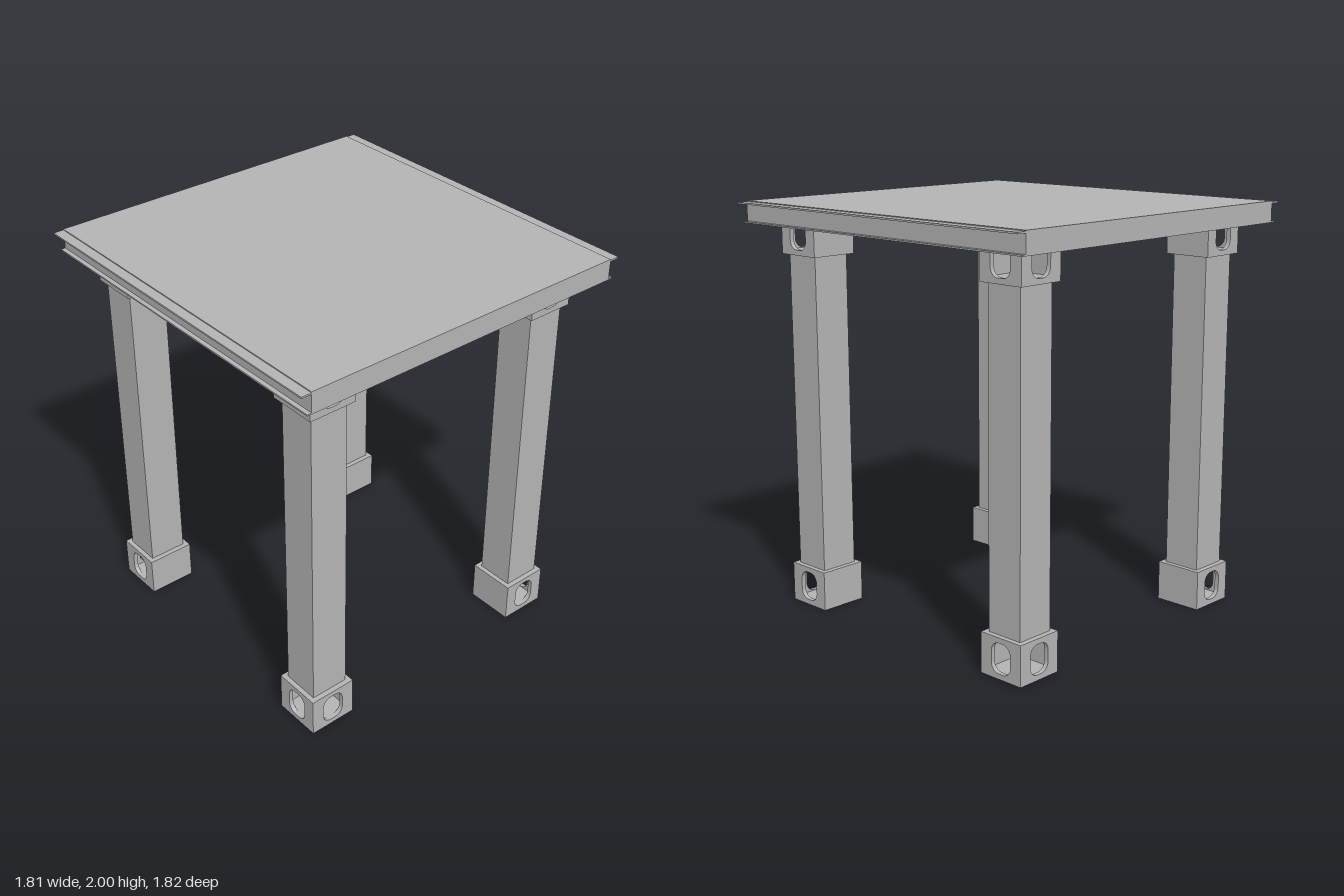
import * as THREE from 'three';
import { toCreasedNormals } from 'three/addons/utils/BufferGeometryUtils.js';

const concrete = new THREE.MeshStandardMaterial({ color: 0xb4b4b4 });
concrete.name = 'plain grey';

function add(parent, name, geometry, x = 0, y = 0, z = 0) {
  const mesh = new THREE.Mesh(geometry, concrete);
  mesh.name = name;
  mesh.position.set(x, y, z);
  parent.add(mesh);
  return mesh;
}

// Box given by its minimum and maximum corners
function span(parent, name, [x0, y0, z0], [x1, y1, z1]) {
  return add(parent, name, new THREE.BoxGeometry(x1 - x0, y1 - y0, z1 - z0),
    (x0 + x1) / 2, (y0 + y1) / 2, (z0 + z1) / 2);
}

const SIZE = 0.24, HEIGHT = 0.195, WALL = 0.022;

// Wall from x0 to x1 with a rounded opening centred on x = 0
function openWall(x0, x1) {
  const h = HEIGHT / 2, w = 0.057, t = 0.072, r = 0.045;
  const shape = new THREE.Shape([[x0, -h], [x1, -h], [x1, h], [x0, h]].map(p => new THREE.Vector2(...p)));
  const hole = new THREE.Path();
  hole.absarc(w - r, t - r, r, 0, Math.PI / 2);
  hole.absarc(r - w, t - r, r, Math.PI / 2, Math.PI);
  hole.absarc(r - w, r - t, r, Math.PI, Math.PI * 1.5);
  hole.absarc(w - r, r - t, r, Math.PI * 1.5, Math.PI * 2);
  shape.holes.push(hole);
  const g = new THREE.ExtrudeGeometry(shape, { depth: WALL, bevelEnabled: false, curveSegments: 6 });
  return toCreasedNormals(g, 0.6);
}

// Hollow corner fitting, open on its +x and +z faces
function cornerFitting(name) {
  const group = new THREE.Group();
  group.name = name;
  const s = SIZE / 2, h = HEIGHT / 2, i = s - WALL;
  add(group, 'openWallA', openWall(-s, s), 0, 0, i);
  add(group, 'openWallB', openWall(-i, s), i, 0, 0).rotation.y = Math.PI / 2;
  span(group, 'innerWallA', [-s, -h, -s], [i, h, -i]);
  span(group, 'innerWallB', [-s, -h, -i], [-i, h, i]);
  span(group, 'floorPlate', [-i, -h, -i], [i, -h + WALL, i]);
  span(group, 'topPlate', [-i, h - WALL, -i], [i, h, i]);
  return group;
}

// Deck with a flat top and a corrugated underside, ridges along x
function deckGeometry() {
  const half = 0.898, length = 1.71, waves = 6, steps = 96;
  const points = [new THREE.Vector2(half, 2), new THREE.Vector2(-half, 2)];
  for (let i = 0; i <= steps; i++) {
    const t = i / steps;
    points.push(new THREE.Vector2(-half + 2 * half * t, 1.96 - 0.018 * Math.cos(t * waves * 2 * Math.PI)));
  }
  const g = new THREE.ExtrudeGeometry(new THREE.Shape(points), { depth: length, bevelEnabled: false });
  g.translate(0, 0, -length / 2).rotateY(Math.PI / 2);
  return toCreasedNormals(g, 0.5);
}

export function createModel() {
  const model = new THREE.Group();
  model.name = 'platform';

  // Columns with a fitting at each end
  for (let k = 0; k < 4; k++) {
    const angle = k * Math.PI / 2;
    const sx = k < 2 ? 1 : -1, sz = k === 0 || k === 3 ? 1 : -1;
    const leg = new THREE.Group();
    leg.name = 'leg' + (sz > 0 ? 'Front' : 'Back') + (sx > 0 ? 'Left' : 'Right');
    leg.position.set(sx * 0.637, 0, sz > 0 ? 0.655 : -0.67);
    span(leg, 'column', [-0.096, HEIGHT, -0.094], [0.096, 1.75, 0.094]);
    for (const [name, y] of [['footFitting', HEIGHT / 2], ['headFitting', 1.75 + HEIGHT / 2]]) {
      const fitting = cornerFitting(name);
      fitting.position.y = y;
      fitting.rotation.y = angle;
      leg.add(fitting);
    }
    model.add(leg);
  }

  add(model, 'deck', deckGeometry());

  // Edge beams: outward channels left and right, inward channels front and back
  for (const side of [1, -1]) {
    const beam = new THREE.Group();
    beam.name = side > 0 ? 'leftBeam' : 'rightBeam';
    span(beam, 'web', [0.845, 1.897, -0.898], [0.856, 1.995, 0.898]);
    span(beam, 'topFlange', [0.856, 1.988, -0.908], [0.906, 1.996, 0.908]);
    span(beam, 'bottomFlange', [0.856, 1.897, -0.908], [0.878, 1.904, 0.908]);
    beam.rotation.y = side > 0 ? 0 : Math.PI;
    model.add(beam);

    const end = new THREE.Group();
    end.name = side > 0 ? 'frontBeam' : 'backBeam';
    span(end, 'web', [-0.856, 1.897, 0.898], [0.856, 2, 0.908]);
    span(end, 'bottomFlange', [-0.845, 1.897, 0.868], [0.845, 1.904, 0.898]);
    end.rotation.y = side > 0 ? 0 : Math.PI;
    model.add(end);
  }
  return model;
}
